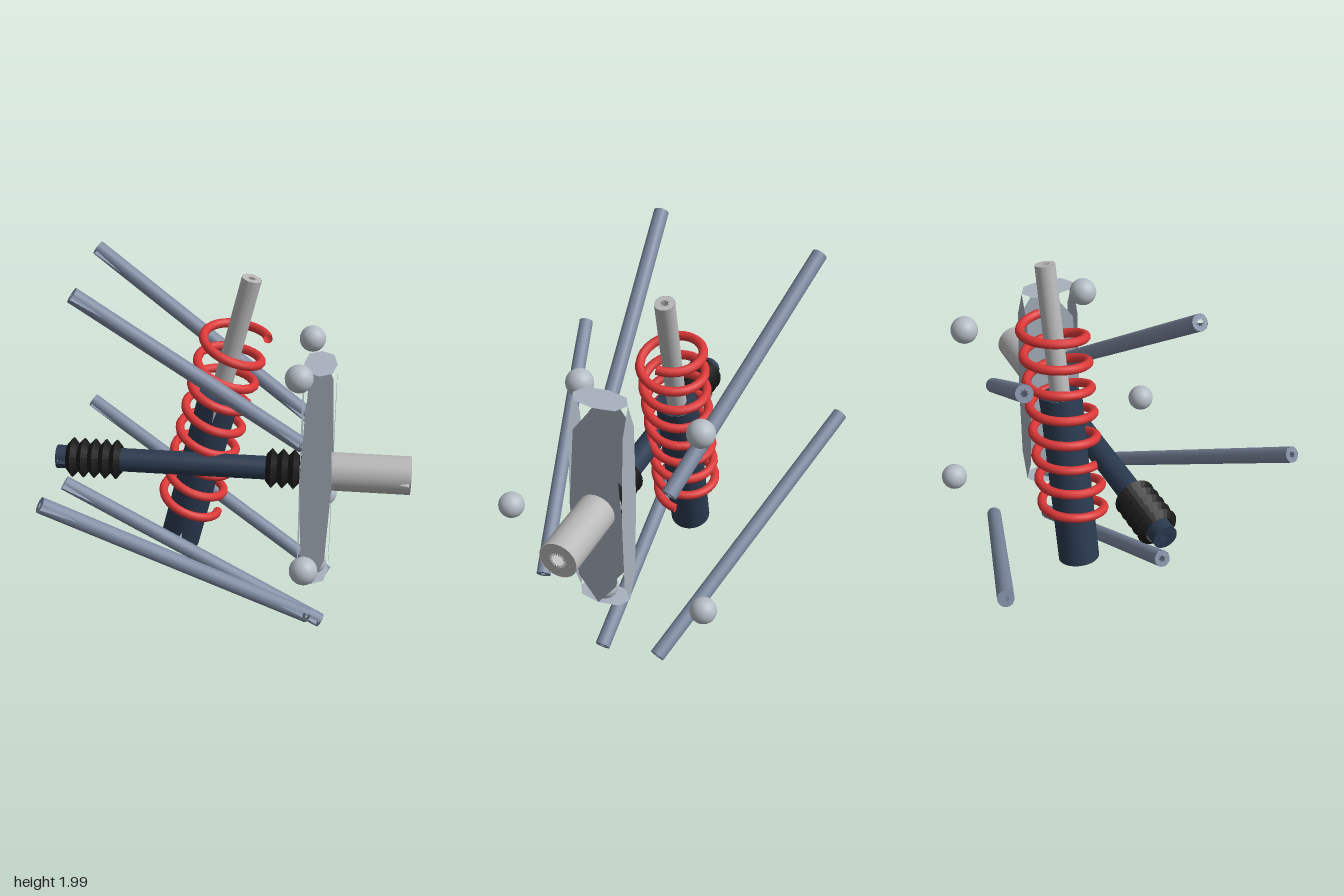
import * as THREE from 'three';

const V = (x, y, z) => new THREE.Vector3(x, y, z);
const UP = V(0, 1, 0);
const mat = (color, flatShading = false) =>
  new THREE.MeshStandardMaterial({ color, flatShading, side: THREE.DoubleSide });

const linkMat = mat(0x7d89a0);
const darkMat = mat(0x2b3a50);
const steelMat = mat(0xb8b8b8);
const ballMat = mat(0xb4bcc4);
const uprightMat = mat(0xa8b2bd, true);
const springMat = mat(0xdd3838);
const rubberMat = mat(0x1a1a1a, true);

// Place an object built along +y so that it runs from a to b
function align(object, a, b) {
  object.position.copy(a).add(b).multiplyScalar(0.5);
  object.quaternion.setFromUnitVectors(UP, b.clone().sub(a).normalize());
  return object;
}

// Bar between two points: a split seam at each end and caps with a star-shaped bore
function bar(name, a, b, r, material, segs = 16) {
  const group = new THREE.Group();
  group.name = name;
  const length = a.distanceTo(b);

  const side = new THREE.CylinderGeometry(r, r, length, segs, 2, true);
  const p = side.attributes.position;
  for (const row of [0, 2]) {
    for (const col of [0, segs]) {
      const i = row * (segs + 1) + col;
      p.setY(i, p.getY(i) * 0.75);
    }
  }
  const sideMesh = new THREE.Mesh(side, material);
  sideMesh.name = name + 'Side';
  group.add(sideMesh);

  for (const s of [1, -1]) {
    const cap = new THREE.RingGeometry(r * 0.5, r * 0.98, segs, 1);
    const c = cap.attributes.position;
    for (let i = 1; i < segs; i += 2) c.setXY(i, c.getX(i) * 0.55, c.getY(i) * 0.55);
    cap.rotateX(-s * Math.PI / 2).translate(0, s * length / 2, 0);
    const capMesh = new THREE.Mesh(cap, material);
    capMesh.name = name + 'Cap';
    group.add(capMesh);
  }
  return align(group, a, b);
}

// Coil running along the line a-b, starting on the +x side and turning towards +z
class Coil extends THREE.Curve {
  constructor(a, b, radius, turns) {
    super();
    Object.assign(this, { a, b, radius, turns });
    this.v = V(0, 0, 1);
    this.u = b.clone().sub(a).normalize().cross(this.v).normalize();
  }
  getPoint(t, target = V(0, 0, 0)) {
    const angle = t * this.turns * Math.PI * 2;
    return target.copy(this.a).lerp(this.b, t)
      .addScaledVector(this.u, Math.cos(angle) * this.radius)
      .addScaledVector(this.v, Math.sin(angle) * this.radius);
  }
}

// Pleated rubber boot
function boot(name, x0, x1, y, z) {
  const folds = 5, length = x1 - x0, points = [];
  for (let i = 0; i <= folds * 2; i++) {
    points.push(new THREE.Vector2(i % 2 ? 0.102 : 0.07, (i / (folds * 2) - 0.5) * length));
  }
  const mesh = new THREE.Mesh(new THREE.LatheGeometry(points, 24), rubberMat);
  mesh.name = name;
  return align(mesh, V(x0, y, z), V(x1, y, z));
}

// Upright: six separate eight-sided panels that meet at their edge midpoints
function upright() {
  const group = new THREE.Group();
  group.name = 'upright';
  const k = 0.75;
  const outline = [[1, 0], [k, k], [0, 1], [-k, k], [-1, 0], [-k, -k], [0, -1], [k, -k]];
  const shape = new THREE.Shape(outline.map(([x, y]) => new THREE.Vector2(x, y)));
  const turns = [[0, 0], [0, 1], [0, 2], [0, 3], [1, 0], [-1, 0]];
  for (const [rx, ry] of turns) {
    const panel = new THREE.ShapeGeometry(shape).translate(0, 0, 1);
    panel.rotateX(rx * Math.PI / 2).rotateY(ry * Math.PI / 2).scale(0.08, 0.6, 0.14);
    const mesh = new THREE.Mesh(panel, uprightMat);
    mesh.name = 'uprightPanel';
    group.add(mesh);
  }
  group.position.set(0.43, 0.98, 0.03);
  return group;
}

export function createModel() {
  const model = new THREE.Group();
  model.name = 'multiLinkSuspension';

  // Five links, inner end to outer end
  const links = {
    upperFrontLink: [V(-0.71, 1.97, 0.245), V(0.36, 1.17, 0.11)],
    upperRearLink: [V(-0.765, 1.885, -0.59), V(0.39, 1.1, -0.3)],
    lowerFrontLink: [V(-0.8, 1.15, 0.75), V(0.42, 0.355, 0.4)],
    lowerRearLink: [V(-0.88, 0.9, -0.755), V(0.5, 0.125, -0.295)],
    lowerMiddleLink: [V(-0.875, 0.825, 0.03), V(0.48, 0.04, 0.03)],
  };
  for (const [name, [a, b]] of Object.entries(links)) {
    model.add(bar(name, a, b, 0.039, linkMat));
  }

  // Ball joints
  const joints = [
    [0.335, 1.57, 0.185], [0.37, 1.49, -0.445], [0.4, 0.75, 0.575],
    [0.465, 0.51, -0.525], [0.43, 0.43, 0.03],
  ];
  for (const position of joints) {
    const ball = new THREE.Mesh(new THREE.SphereGeometry(0.068, 24, 16), ballMat);
    ball.name = 'ballJoint';
    ball.position.set(...position);
    model.add(ball);
  }

  model.add(upright());

  // Drive shaft, boots and hub stub
  const y = 0.98, z = 0.025;
  model.add(bar('driveShaft', V(-0.9, y, z), V(0.43, y, z), 0.06, darkMat, 32));
  model.add(boot('innerBoot', -0.845, -0.565, y, z));
  model.add(boot('outerBoot', 0.175, 0.455, y, z));
  model.add(bar('hubStub', V(0.43, y, z), V(0.9, y, z), 0.097, steelMat, 48));

  // Damper and coil spring on one leaning axis
  const onAxis = (h) => V(-0.3 + 0.25 * (h - 0.415), h, -0.13);
  model.add(bar('damperBody', onAxis(0.415), onAxis(1.3), 0.104, darkMat, 48));
  model.add(bar('damperRod', onAxis(1.1), onAxis(1.935), 0.049, steelMat, 32));
  const coil = new Coil(onAxis(0.64), onAxis(1.66), 0.155, 8);
  const spring = new THREE.Mesh(new THREE.TubeGeometry(coil, 240, 0.023, 10), springMat);
  spring.name = 'coilSpring';
  model.add(spring);

  return model;
}
